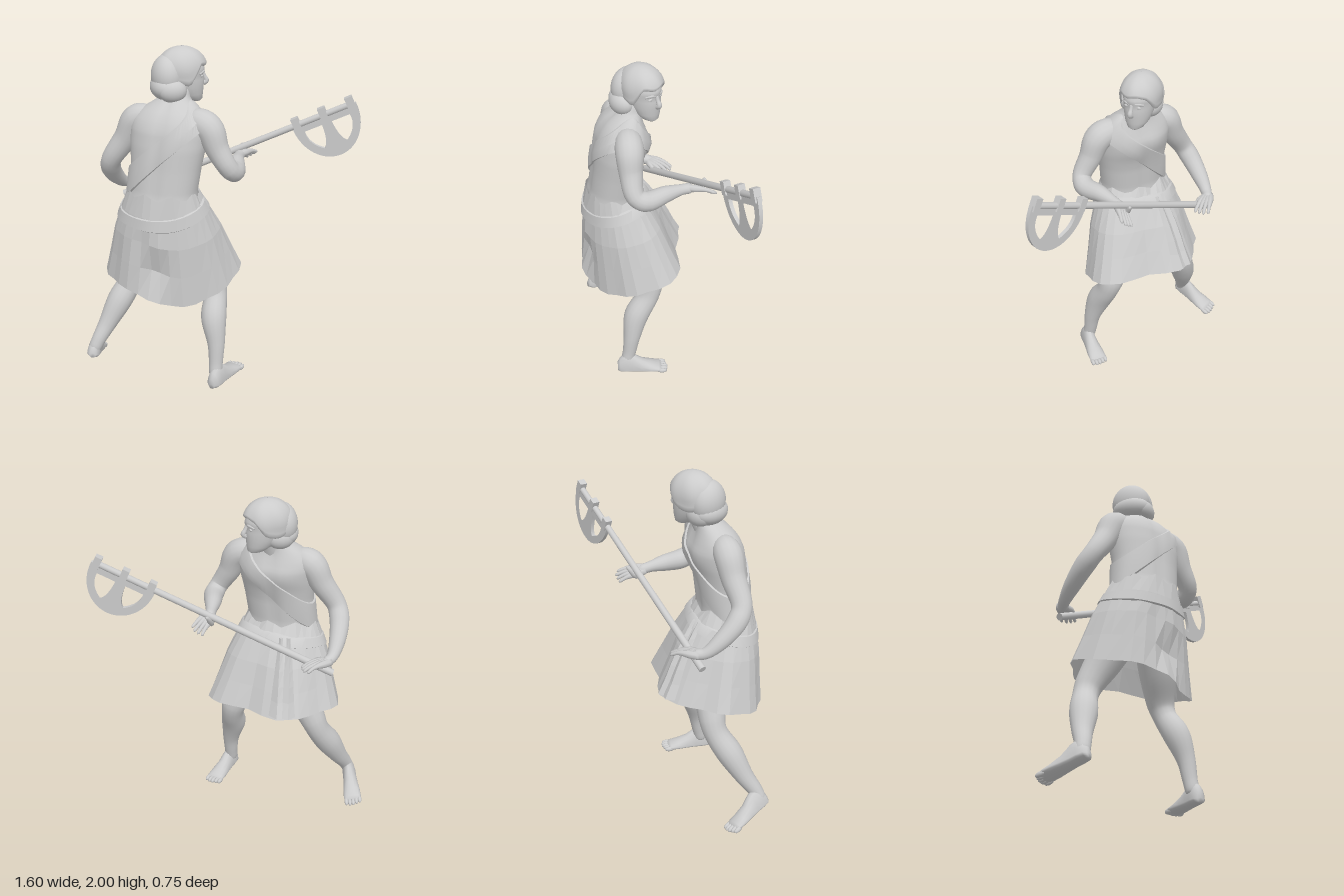
import * as THREE from 'three';
import { toCreasedNormals } from 'three/addons/utils/BufferGeometryUtils.js';

const V = (x, y, z) => new THREE.Vector3(x, y, z);
const TAU = Math.PI * 2;
const smooth = new THREE.MeshStandardMaterial({ color: 0xcccccc });
const thin = new THREE.MeshStandardMaterial({ color: 0xcccccc, side: THREE.DoubleSide });
const faceted = new THREE.MeshStandardMaterial({ color: 0xcccccc, side: THREE.DoubleSide, flatShading: true });
const times = (n, f) => Array.from({ length: n }, (_, i) => f(i));

function add(parent, name, geometry, material = smooth) {
  const m = new THREE.Mesh(geometry, material);
  m.name = name;
  parent.add(m);
  return m;
}

// skin a list of closed rings, optionally capping both ends
function loft(rings, capped = true) {
  const n = rings[0].length, pos = [], idx = [];
  rings.forEach(r => r.forEach(p => pos.push(p.x, p.y, p.z)));
  for (let i = 0; i < rings.length - 1; i++) for (let j = 0; j < n; j++) {
    const k = (j + 1) % n, a = i * n + j, b = i * n + k;
    idx.push(a, b, b + n, a, b + n, a + n);
  }
  if (capped) [0, rings.length - 1].forEach(i => {
    const c = rings[i].reduce((s, p) => s.add(p), V(0, 0, 0)).divideScalar(n), id = pos.length / 3;
    pos.push(c.x, c.y, c.z);
    for (let j = 0; j < n; j++) {
      const a = i * n + j, b = i * n + (j + 1) % n;
      idx.push(id, i ? a : b, i ? b : a);
    }
  });
  const g = new THREE.BufferGeometry();
  g.setAttribute('position', new THREE.Float32BufferAttribute(pos, 3));
  g.setIndex(idx);
  g.computeVertexNormals();
  return g;
}

// round limb through points [x, y, z, radius]
function limb(pts, sides = 16, per = 6) {
  const path = new THREE.CatmullRomCurve3(pts.map(p => V(p[0], p[1], p[2])));
  const rad = new THREE.SplineCurve(pts.map((p, i) => new THREE.Vector2(i, p[3])));
  const steps = (pts.length - 1) * per;
  let N = V(0.31, 0.2, 0.93);
  return loft(times(steps + 1, i => {
    const t = i / steps, c = path.getPoint(t), T = path.getTangent(t);
    N = N.clone().addScaledVector(T, -N.dot(T)).normalize();
    const B = T.clone().cross(N), r = rad.getPoint(t).y;
    return times(sides, j => c.clone().addScaledVector(N, r * Math.cos(j / sides * TAU)).addScaledVector(B, r * Math.sin(j / sides * TAU)));
  }));
}

function blob(parent, name, p, s, segs = 16) {
  const m = add(parent, name, new THREE.SphereGeometry(1, segs, segs * 0.75));
  m.position.set(...p);
  m.scale.set(...s);
  return m;
}

// torso frame: S runs to the shoulder, F to the chest
const S = V(0.84, 0, 0.54), F = V(0.54, 0, -0.84);
// rows: y, centre x, centre z, half width, half depth
const torsoRows = [
  [1.0, -0.31, 0.11, 0.19, 0.14], [1.17, -0.325, 0.132, 0.205, 0.154], [1.22, -0.318, 0.13, 0.197, 0.145], [1.36, -0.3, 0.122, 0.205, 0.142],
  [1.48, -0.285, 0.11, 0.22, 0.148], [1.57, -0.275, 0.1, 0.222, 0.145], [1.62, -0.27, 0.095, 0.21, 0.13],
  [1.665, -0.262, 0.088, 0.172, 0.108], [1.7, -0.25, 0.075, 0.122, 0.085], [1.735, -0.23, 0.06, 0.076, 0.068], [1.79, -0.2, 0.035, 0.056, 0.056]];

function torsoPoint(y, a, off = 0) {
  let i = 0;
  while (i < torsoRows.length - 2 && torsoRows[i + 1][0] < y) i++;
  const A = torsoRows[i], B = torsoRows[i + 1], k = (y - A[0]) / (B[0] - A[0]);
  const [, cx, cz, w, d] = A.map((v, q) => v + (B[q] - v) * k);
  // chest swell, breastbone and spine grooves
  const c = Math.cos(a), s = Math.sin(a), groove = Math.exp(-c * c * 40);
  const chest = s > 0 ? 0.02 * Math.exp(-(((y - 1.53) / 0.07) ** 2)) * s : 0;
  const depth = (d + off + chest - 0.01 * groove) * Math.sign(s) * Math.abs(s) ** 0.9;
  return V(cx, y, cz).addScaledVector(S, (w + off) * c).addScaledVector(F, depth);
}

// kilt surface: u runs round the waist, t from waist to hem
const hem = new THREE.CatmullRomCurve3([
  [0.135, 0.72, 0.05], [0.08, 0.675, 0.22], [-0.07, 0.61, 0.32], [-0.26, 0.565, 0.335], [-0.44, 0.61, 0.305], [-0.58, 0.65, 0.165],
  [-0.645, 0.66, 0], [-0.59, 0.71, -0.18], [-0.4, 0.72, -0.26], [-0.21, 0.73, -0.29], [-0.03, 0.73, -0.11]].map(p => V(...p)), true);

function kiltPoint(u, t, off = 0) {
  const a = -0.16 + u * TAU, b = 0.57 - a;
  const top = V(-0.322, 1.215, 0.132).addScaledVector(S, 0.206 * Math.cos(b)).addScaledVector(F, 0.155 * Math.sin(b));
  const p = top.lerp(hem.getPoint(u), t);
  // gathered hollow behind, slight swell over the hips
  const dent = -0.06 * Math.exp(-(((u - 0.37 + (t - 0.6) * 0.15) / 0.04) ** 2) - ((t - 0.66) / 0.2) ** 2);
  const swell = 0.018 * Math.sin(Math.PI * Math.min(1, t * 1.2));
  return p.add(V(Math.cos(a), 0, Math.sin(a)).multiplyScalar(off + dent + swell));
}

function addHand(parent, name, wrist, d, s, curl, thumbUp) {
  const g = new THREE.Group();
  g.name = name;
  parent.add(g);
  const at = (f, k, c) => wrist.clone().addScaledVector(d, f).addScaledVector(s, k).add(V(0, c * curl, 0)).toArray();
  for (let i = 0; i < 4; i++) {
    const k = i - 1.5, len = 1 - 0.07 * Math.abs(k - 0.3);
    add(g, 'finger', limb([[...at(-0.02, k * 0.008, 0), 0.022], [...at(0.03, k * 0.016, 0), 0.022], [...at(0.07, k * 0.021, 0), 0.016],
      [...at(0.115 * len, k * 0.024, 0.3), 0.011], [...at(0.15 * len, k * 0.027, 1), 0.009], [...at(0.158 * len, k * 0.027, 1.2), 0.003]], 8, 3));
  }
  const tip = at(0.085, -0.05, 0);
  tip[1] += thumbUp;
  add(g, 'thumb', limb([[...at(0, -0.012, 0), 0.022], [...at(0.035, -0.04, 0), 0.018], [...tip, 0.011], [tip[0] + 0.012, tip[1], tip[2], 0.003]], 8, 3));
}

// foot pointing along local +z, heel at the origin
function makeFoot(parent, name) {
  const g = new THREE.Group();
  g.name = name;
  parent.add(g);
  const rows = [[0, 0.018, 0.06], [0.015, 0.034, 0.09], [0.05, 0.038, 0.125], [0.09, 0.038, 0.115], [0.14, 0.042, 0.078], [0.19, 0.048, 0.055], [0.235, 0.049, 0.038], [0.25, 0.042, 0.025]];
  add(g, 'footBody', loft(rows.map(([z, w, h]) => times(16, j => {
    const a = j / 16 * TAU, y = Math.sin(a);
    return V(w * Math.cos(a), y > 0 ? 0.02 + (h - 0.02) * y : 0.02 + 0.02 * y, z);
  }))));
  for (let i = 0; i < 5; i++) blob(g, 'toe', [(i - 2) * 0.019, 0.014, 0.262 - Math.abs(i - 1.5) * 0.006], [0.012, 0.014, 0.028], 10);
  g.scale.setScalar(1.1);
  return g;
}

function addHead(parent) {
  const head = new THREE.Group();
  head.name = 'head';
  head.position.set(-0.17, 0, 0.01);
  head.rotation.y = Math.PI / 2;
  parent.add(head);
  // rows: y, centre z, half width, half depth
  const rows = [[1.69, 0.055, 0.026, 0.028], [1.702, 0.045, 0.046, 0.05], [1.735, 0.022, 0.068, 0.077], [1.78, 0.002, 0.08, 0.102],
    [1.82, -0.008, 0.085, 0.114], [1.84, -0.014, 0.086, 0.113], [1.86, -0.012, 0.088, 0.122], [1.88, -0.015, 0.088, 0.122], [1.93, -0.02, 0.08, 0.11], [1.97, -0.02, 0.05, 0.07]];
  add(head, 'skull', loft(rows.map(([y, z, w, d]) => times(24, j => V(w * Math.cos(j / 24 * TAU), y, z - d * Math.sin(j / 24 * TAU))))));
  add(head, 'nose', limb([[0, 1.855, 0.098, 0.01], [0, 1.825, 0.107, 0.012], [0, 1.8, 0.119, 0.015], [0, 1.785, 0.1, 0.015]], 10, 4));
  blob(head, 'upperLip', [0, 1.761, 0.091], [0.026, 0.007, 0.01]);
  blob(head, 'lowerLip', [0, 1.748, 0.087], [0.022, 0.007, 0.012]);
  blob(head, 'chin', [0, 1.713, 0.076], [0.03, 0.022, 0.02]);
  for (const m of [-1, 1]) {
    add(head, 'brow', limb([[m * 0.01, 1.856, 0.103, 0.006], [m * 0.035, 1.861, 0.096, 0.008], [m * 0.062, 1.852, 0.072, 0.006]], 8, 4));
    blob(head, 'eye', [m * 0.035, 1.836, 0.086], [0.016, 0.008, 0.008]);
  }
  // hair cap, short at the fringe and long behind
  add(head, 'hairCap', loft(times(17, i => times(40, j => {
    const a = j / 40 * TAU, side = THREE.MathUtils.smoothstep(Math.abs(j > 20 ? TAU - a : a), 0.7, 1.4);
    const phi = 0.01 + (i / 16) * (1.36 + 0.74 * side + 0.05 * Math.sin(6 * a));
    const tuck = i === 16 ? 0.9 : 1;
    const r = tuck * Math.sin(Math.min(phi, 1.75)) * (1 + 0.015 * Math.sin(7 * a + 2 * phi));
    return V(-0.116 * r * Math.sin(a), 1.87 + 0.13 * Math.cos(phi), -0.018 + 0.143 * r * Math.cos(a));
  })), false), thin);
  // rolled bob at the nape, blending up into the cap
  blob(head, 'hairBack', [-0.015, 1.84, -0.1], [0.113, 0.12, 0.092], 24);
  blob(head, 'hairRoll', [-0.025, 1.785, -0.11], [0.115, 0.075, 0.09], 24);
  for (const m of [-1, 1]) blob(head, 'hairCurl', [m * 0.066 - 0.028, 1.775, -0.085], [0.058, 0.065, 0.08], 20);
}

function addAxe(parent) {
  const axe = new THREE.Group();
  axe.name = 'axe';
  parent.add(axe);
  const a = V(-0.5, 1.03, -0.31), b = V(0.765, 1.662, 0.143), u = b.clone().sub(a).normalize();
  const side = u.clone().cross(V(0, 1, 0)).normalize(), up = side.clone().cross(u);
  axe.matrix.makeBasis(u, up, side).setPosition(a.clone().lerp(b, 0.878));
  axe.matrix.decompose(axe.position, axe.quaternion, axe.scale);
  const len = a.distanceTo(b), shaft = add(axe, 'shaft', new THREE.CylinderGeometry(0.018, 0.021, len, 16));
  shaft.rotation.z = -Math.PI / 2;
  shaft.position.x = len * (0.5 - 0.878);
  // half-moon blade with two windows
  const s = new THREE.Shape();
  s.moveTo(-0.195, 0);
  s.lineTo(0.195, 0);
  s.absellipse(0, -0.02, 0.195, 0.235, 0, Math.PI, true);
  for (const m of [-1, 1]) {
    const h = new THREE.Path();
    h.moveTo(m * 0.03, -0.05);
    h.lineTo(m * 0.14, -0.05);
    h.quadraticCurveTo(m * 0.148, -0.13, m * 0.07, -0.185);
    h.quadraticCurveTo(m * 0.035, -0.16, m * 0.03, -0.05);
    s.holes.push(h);
  }
  const g = new THREE.ExtrudeGeometry(s, { depth: 0.022, bevelEnabled: false, curveSegments: 24 }).translate(0, 0, -0.011);
  add(axe, 'blade', toCreasedNormals(g, 0.6));
  for (const x of [-0.165, 0, 0.165]) add(axe, 'clasp', new THREE.BoxGeometry(0.042, 0.075, 0.042)).position.set(x, 0.008, 0);
}

export function createModel() {
  const model = new THREE.Group();
  model.name = 'axeman';

  const levels = times(41, i => 1.0 + 0.79 * i / 40);
  add(model, 'torso', loft(levels.map(y => times(40, j => torsoPoint(y, j / 40 * TAU)))));
  add(model, 'neck', limb([[-0.245, 1.66, 0.07, 0.075], [-0.21, 1.74, 0.04, 0.06], [-0.18, 1.83, 0.015, 0.058]]));
  addHead(model);

  // arms
  add(model, 'frontArm', limb([[-0.2, 1.6, 0.13, 0.03], [-0.14, 1.62, 0.17, 0.07], [-0.075, 1.59, 0.22, 0.08], [-0.035, 1.48, 0.252, 0.067], [0.025, 1.37, 0.28, 0.055],
    [0.065, 1.335, 0.24, 0.058], [0.1, 1.34, 0.12, 0.048], [0.13, 1.34, 0.03, 0.032], [0.15, 1.335, -0.02, 0.03], [0.16, 1.33, -0.04, 0.02]]));
  addHand(model, 'frontHand', V(0.15, 1.335, -0.025), V(0.69, -0.14, -0.7), V(0.5, 0.5, 0.5), -0.015, 0.07);
  add(model, 'rearArm', limb([[-0.33, 1.59, 0.05, 0.03], [-0.39, 1.615, 0.015, 0.065], [-0.445, 1.59, -0.02, 0.08], [-0.5, 1.48, -0.045, 0.07], [-0.585, 1.345, -0.08, 0.058],
    [-0.59, 1.275, -0.13, 0.058], [-0.55, 1.18, -0.22, 0.047], [-0.5, 1.12, -0.285, 0.033], [-0.46, 1.11, -0.31, 0.03], [-0.44, 1.11, -0.315, 0.02]]));
  addHand(model, 'rearHand', V(-0.46, 1.11, -0.31), V(0.97, 0.02, -0.16), V(-0.2, 0.1, -0.95), -0.025, -0.02);

  // legs and feet
  add(model, 'frontLeg', limb([[-0.2, 1.0, 0.14, 0.12], [-0.1, 0.78, 0.13, 0.105], [-0.03, 0.62, 0.125, 0.078], [-0.025, 0.54, 0.15, 0.068], [-0.05, 0.42, 0.222, 0.075],
    [-0.045, 0.27, 0.272, 0.052], [-0.05, 0.16, 0.292, 0.042], [-0.055, 0.09, 0.307, 0.038], [-0.055, 0.06, 0.312, 0.02]]));
  const ff = makeFoot(model, 'frontFoot');
  ff.position.set(-0.09, 0.015, 0.36);
  ff.rotation.y = Math.atan2(0.2, -0.22);
  add(model, 'rearLeg', limb([[-0.38, 1.0, 0.06, 0.12], [-0.4, 0.78, -0.07, 0.105], [-0.455, 0.61, -0.142, 0.078], [-0.49, 0.53, -0.148, 0.07], [-0.57, 0.41, -0.12, 0.076],
    [-0.655, 0.27, -0.088, 0.055], [-0.715, 0.18, -0.058, 0.043], [-0.74, 0.13, -0.05, 0.038], [-0.745, 0.1, -0.055, 0.02]]));
  const rf = makeFoot(model, 'rearFoot');
  rf.position.set(-0.765, 0.088, 0);
  rf.rotation.set(0.27, Math.atan2(0.06, -0.28), 0.2, 'YXZ');

  // kilt of broad flat panels with a ragged waist
  const cols = 30;
  add(model, 'kilt', loft([0, 0.2, 0.45, 0.72, 1].map(t => times(cols, j => {
    const p = kiltPoint(j / cols, t, t * (j % 3 ? 0.003 : -0.008));
    if (t === 0) p.y += 0.018 * Math.sin(j * 1.7);
    return p;
  })), false), faceted);
  // belt and sash, both closed bands of shallow section
  const beltRings = times(49, i => {
    const u = i / 48, mid = 0.2 - 0.07 * Math.cos(u * TAU + 0.2);
    return [[-0.06, -0.004], [-0.05, 0.006], [0.05, 0.006], [0.06, -0.004]].map(([d, o]) => kiltPoint(u, mid + d, o));
  });
  add(model, 'belt', toCreasedNormals(loft(beltRings, false), 0.7), thin);
  const sashRings = times(65, i => {
    const a = i / 64 * TAU, y = 1.455 + 0.205 * Math.cos(a), w = 0.075 - 0.012 * Math.cos(a);
    return [[-1, 0.001], [-0.93, 0.011], [0, 0.016], [0.93, 0.011], [1, 0.001]].map(([d, o]) => torsoPoint(y + d * w, a, o));
  });
  add(model, 'sash', toCreasedNormals(loft(sashRings, false), 0.7), thin);
  // hanging cloth folds at the front of the waist
  for (const [u, w] of [[0.83, 0.018], [0.8, 0.02]]) {
    const rings = times(6, i => [[-w, 0.002], [0, 0.022], [w, 0.002]].map(([d, o]) => kiltPoint(u + d * (0.5 + i * 0.12), 0.12 + i * 0.17, o)));
    add(model, 'clothFold', loft(rings), faceted);
  }

  addAxe(model);
  return model;
}
